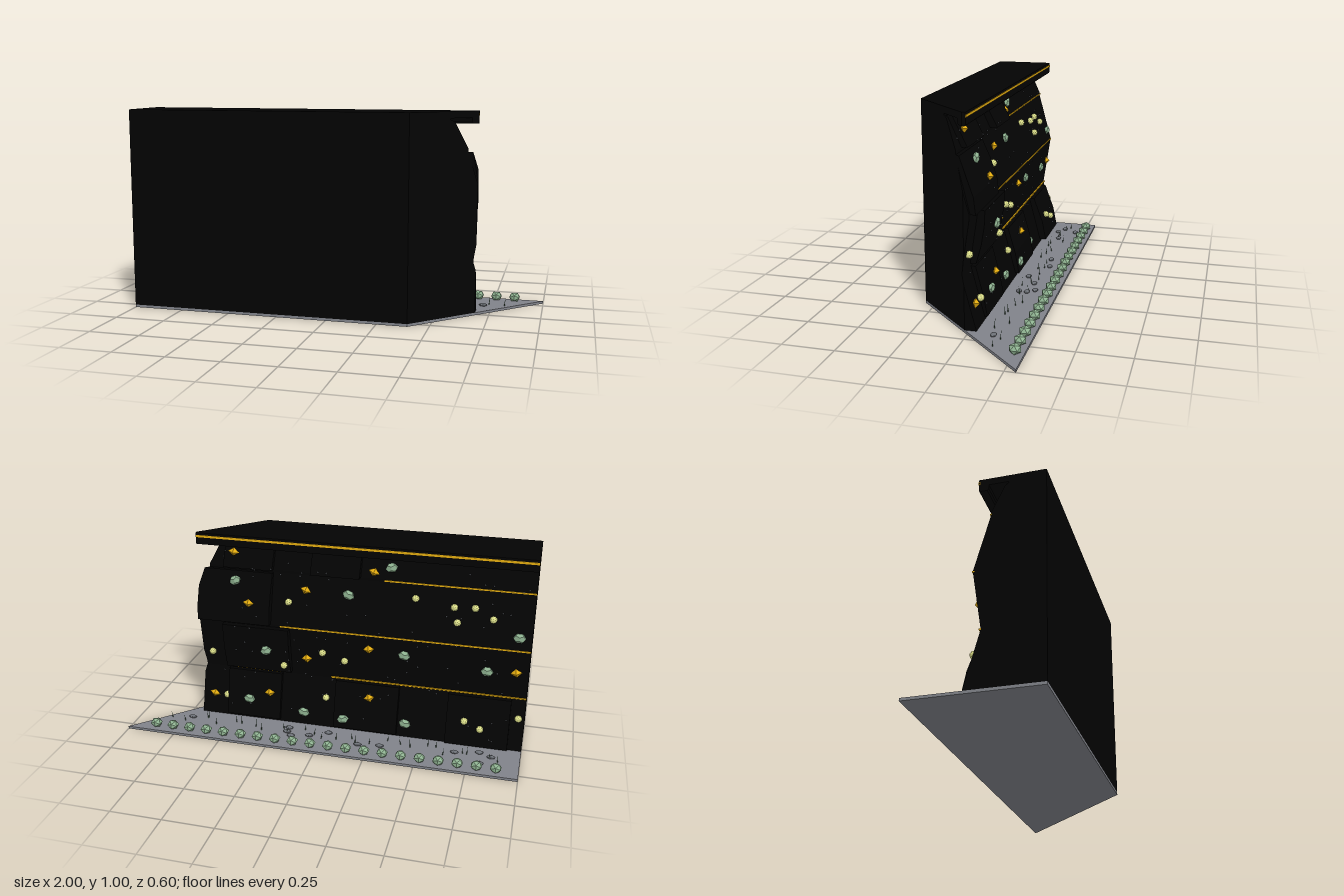
import * as THREE from 'three';

const mat = (name, color) => Object.assign(new THREE.MeshStandardMaterial({ color }), { name });

export function createModel() {
  const root = new THREE.Group();
  root.name = 'climbingWall';
  const M = {
    black: mat('wall black', 0x030303),
    gold: mat('gold', 0xe6ae10),
    sage: mat('sage green', 0x8fb391),
    lime: mat('pale yellow', 0xdde08a),
    grey: mat('floor grey', 0x808289),
    stone: mat('pebble grey', 0x6c7076),
    grass: mat('grass green', 0x47664b),
  };
  let seed = 7;
  const rnd = () => (seed = (seed * 16807) % 2147483647) / 2147483647;
  const add = (name, geo, material, parent = root) => {
    const mesh = new THREE.Mesh(geo, material);
    mesh.name = name;
    parent.add(mesh);
    return mesh;
  };
  const group = (name) => {
    const g = new THREE.Group();
    g.name = name;
    root.add(g);
    return g;
  };
  const flat = (g) => {
    const f = g.index ? g.toNonIndexed() : g;
    f.computeVertexNormals();
    return f;
  };

  // Extrude a [z, y] outline along x; nothing may pass the diagonal +x end
  const END = 0.684, KINK = 0.016;
  const extrudeX = (pts, x0, x1) => {
    const shape = new THREE.Shape(pts.map(([z, y]) => new THREE.Vector2(-z, y)));
    const g = new THREE.ExtrudeGeometry(shape, { depth: x1 - x0, bevelEnabled: false })
      .rotateY(Math.PI / 2).translate(x0, 0, 0);
    const p = g.attributes.position;
    for (let i = 0; i < p.count; i++) p.setX(i, Math.min(p.getX(i), 0.7 - p.getZ(i)));
    return flat(g);
  };
  const zAt = (pts, y) => {
    for (let i = 1; i < pts.length; i++) {
      const [z0, y0] = pts[i - 1], [z1, y1] = pts[i];
      if (y <= y1) return z0 + (z1 - z0) * Math.max(0, y - y0) / (y1 - y0);
    }
    return pts[pts.length - 1][0];
  };

  // Wall: block with the diagonal end, and the parts of the face and cap lip before it
  const wall = group('wall');
  const base = [[-0.04, 0.013], [KINK, 0.224], [0.027, 0.265], [0.027, 0.28], [KINK, 0.352],
    [-0.012, 0.535], [-0.012, 0.55], [KINK, 0.652], [0.058, 0.805], [0.058, 0.82], [0.117, 0.95]];
  add('wallBlock', extrudeX([[0.3, 0.013], [KINK, 0.013], ...base.filter(([z]) => z >= KINK),
    [0.135, 0.962], [0.135, 0.968], [0.045, 0.968], [0.045, 0.948], [0.038, 0.94],
    [KINK, 0.94], [KINK, 1], [0.3, 1]], -1, 0.7), M.black, wall);
  add('lowerFace', extrudeX([[KINK, 0.013], ...base.slice(0, 2)], -1, END), M.black, wall);
  add('middleFace', extrudeX(base.slice(4, 8), -1, END), M.black, wall);
  add('capLip', extrudeX([[KINK, 0.94], [0.004, 0.94], [0, 0.946], [0, 1], [KINK, 1]],
    -1, END), M.black, wall);

  // Raised panels: x range and [z, y] profile of the front
  const panels = [
    [-0.93, -0.62, [[-0.071, 0.025], [-0.05, 0.13], [0, 0.265]]],
    [-0.37, -0.04, [[-0.055, 0.025], [-0.036, 0.13], [0.003, 0.265]]],
    [0.25, 0.54, [[-0.05, 0.025], [-0.03, 0.13], [0.005, 0.265]]],
    [0.2, 0.55, [[0, 0.28], [-0.025, 0.37], [-0.04, 0.46], [-0.044, 0.535]]],
    [0.3, END, [[-0.041, 0.55], [-0.032, 0.63], [0, 0.72], [0.038, 0.805]]],
    [0.3, 0.56, [[0.03, 0.82], [0.1, 0.96]]],
    [-0.15, 0.1, [[0.02, 0.82], [0.075, 0.925]]],
  ];
  const panelGroup = group('raisedPanels');
  panels.forEach(([x0, x1, pts]) => {
    const [first, last] = [pts[0], pts[pts.length - 1]];
    const back = Math.max(first[0], last[0]) + 0.03;
    add('panel', extrudeX([[back, first[1]], ...pts, [back, last[1]]], x0, x1), M.black, panelGroup);
  });

  // Outermost surface at a point of the face
  const surfaceZ = (x, y) => {
    const hit = panels.find(([x0, x1, pts]) =>
      x > x0 && x < x1 && y > pts[0][1] && y < pts[pts.length - 1][1]);
    return zAt(hit ? hit[2] : base, y);
  };

  // Gold strips along the seams and the cap lip: x range, y, front z, height
  const strips = group('goldStrips');
  [
    [-1, -0.27, 0.8125, 0.054, 0.007],
    [-1, 0.25, 0.5425, -0.016, 0.007],
    [0.26, 0.5, 0.2725, 0.02, 0.007],
    [-1, -0.01, 0.2725, 0.02, 0.007],
    [-1, END, 0.983, -0.003, 0.011],
  ].forEach(([x0, x1, y, z, h]) => add('goldStrip', new THREE.BoxGeometry(x1 - x0, h, 0.009)
    .translate((x0 + x1) / 2, y, z + 0.0045), M.gold, strips));

  // Climbing holds as [x, y] on the face, with how far their centres stand out
  const holds = group('climbingHolds');
  const kinds = [
    ['sageHold', flat(new THREE.DodecahedronGeometry(0.032).scale(1, 0.8, 0.5)), M.sage, 0.005, [
      [0.49, 0.76], [-0.095, 0.73], [-0.3, 0.875], [0.32, 0.41], [-0.39, 0.45], [-0.94, 0.605],
      [-0.09, 0.075], [-0.41, 0.08], [0.125, 0.075], [-0.8, 0.41], [0.42, 0.12]]],
    ['yellowHold', flat(new THREE.IcosahedronGeometry(0.0185, 1)), M.lime, 0.009, [
      [0.21, 0.67], [-0.43, 0.745], [-0.62, 0.72], [-0.72, 0.725], [-0.64, 0.65], [-0.81, 0.68],
      [0.63, 0.352], [0.03, 0.415], [0.23, 0.33], [-0.085, 0.38], [0.55, 0.12], [0.01, 0.165],
      [-0.71, 0.15], [-0.79, 0.12], [-0.97, 0.175]]],
    ['goldHold', flat(new THREE.OctahedronGeometry(0.029).scale(1, 0.8, 0.7)), M.gold, 0.006, [
      [0.51, 0.895], [0.41, 0.66], [0.125, 0.735], [-0.215, 0.85], [0.115, 0.37], [-0.21, 0.465],
      [0.62, 0.12], [0.31, 0.165], [-0.22, 0.2], [-0.94, 0.42]]],
  ];
  kinds.forEach(([name, geo, material, out, spots]) => spots.forEach(([x, y]) => {
    const h = add(name, geo, material, holds);
    h.position.set(x, y, surfaceZ(x, y) - out);
    h.rotation.z = (rnd() - 0.5) * 0.9;
  }));

  // Tiny bolt heads scattered over the face
  const bolts = group('bolts');
  const boltGeo = new THREE.OctahedronGeometry(0.0045);
  for (let i = 0; i < 90; i++) {
    const x = -0.97 + 1.55 * rnd(), y = 0.06 + 0.84 * rnd();
    add('bolt', boltGeo, M.stone, bolts).position.set(x, y, surfaceZ(x, y) - 0.001);
  }

  // Floor slab with a slanted end
  const floor = new THREE.Shape([[-1, -0.3], [1, -0.3], [0.4, 0.3], [-1, 0.3]]
    .map(([x, z]) => new THREE.Vector2(x, z)));
  add('floorSlab', new THREE.ExtrudeGeometry(floor, { depth: 0.013, bevelEnabled: false })
    .rotateX(Math.PI / 2).translate(0, 0.013, 0), M.grey);

  // Row of clipped shrubs
  const shrubs = group('shrubs');
  const shrubGeo = flat(new THREE.IcosahedronGeometry(0.03).scale(1, 0.85, 1));
  for (let i = 0; i < 20; i++) {
    add('shrub', shrubGeo, M.sage, shrubs).position.set(-0.893 + i * 0.0921, 0.035, -0.26);
  }

  // Flat pebbles
  const pebbles = group('pebbles');
  const pebbleGeo = flat(new THREE.IcosahedronGeometry(0.021, 1).scale(1, 0.4, 0.65));
  [[-0.81, -0.21], [-0.86, -0.14], [-0.8, -0.11], [-0.68, -0.135], [-0.31, -0.17], [-0.2, -0.185],
    [-0.03, -0.11], [0.06, -0.16], [0.15, -0.185], [0.18, -0.15], [0.18, -0.11], [0.71, -0.125]]
    .forEach(([x, z]) => { add('pebble', pebbleGeo, M.stone, pebbles).position.set(x, 0.019, z); });

  // Thin grass blades
  const grass = group('grass');
  const bladeGeo = new THREE.ConeGeometry(0.0025, 0.047, 4);
  for (let i = 0; i < 28; i++) {
    const b = add('grassBlade', bladeGeo, M.grass, grass);
    b.position.set(-0.93 + 1.75 * ((i + rnd()) / 28), 0.035, -0.1 - 0.075 * rnd());
    b.rotation.set((rnd() - 0.5) * 0.3, 0, (rnd() - 0.5) * 0.3);
  }
  return root;
}
